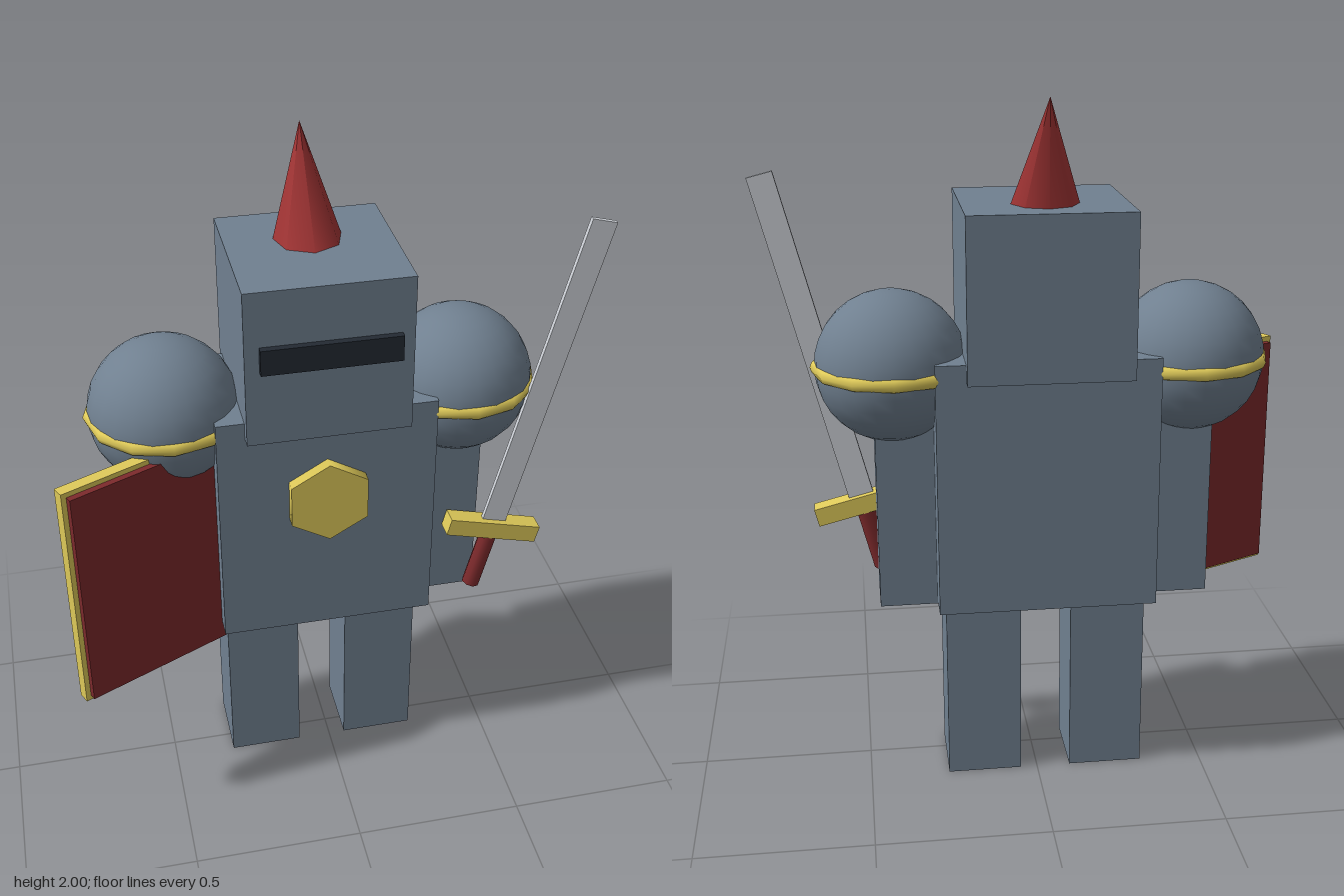
import * as THREE from 'three';

const mat = (color) => new THREE.MeshStandardMaterial({ color });
const steel = mat(0x708090);
const gold = mat(0xe0cb5a);
const red = mat(0x7d2a2c);
const plumeRed = mat(0xa03434);
const dark = mat(0x232a33);
const silver = mat(0xd0d4da);

const MID = -0.025; // x of the body's mirror plane

function add(parent, name, geometry, material, x = 0, y = 0, z = 0) {
  const mesh = new THREE.Mesh(geometry, material);
  mesh.name = name;
  mesh.position.set(x, y, z);
  parent.add(mesh);
  return mesh;
}

// Box given by its lower and upper corners
function block(parent, name, material, [x0, y0, z0], [x1, y1, z1]) {
  return add(parent, name, new THREE.BoxGeometry(x1 - x0, y1 - y0, z1 - z0), material,
    (x0 + x1) / 2, (y0 + y1) / 2, (z0 + z1) / 2);
}

function createBody(parent) {
  block(parent, 'torso', steel, [-0.335, 0.565, -0.235], [0.29, 1.3, 0.15]);
  const emblem = add(parent, 'chestEmblem', new THREE.CylinderGeometry(0.127, 0.127, 0.06, 6), gold, MID, 1.025, 0.155);
  emblem.rotation.x = Math.PI / 2;

  // Helmet with eye slit and backward-leaning plume
  block(parent, 'helmet', steel, [-0.255, 1.25, -0.272], [0.205, 1.71, 0.185]);
  block(parent, 'eyeSlit', dark, [-0.215, 1.475, 0.15], [0.17, 1.55, 0.205]);
  const plumeGeometry = new THREE.ConeGeometry(0.112, 0.36, 8);
  plumeGeometry.translate(0, -0.18, 0); // pivot at the tip
  const plume = add(parent, 'plume', plumeGeometry, plumeRed, MID, 2, -0.2);
  plume.rotation.x = -0.3;
}

// Leg, arm and shoulder guard of one side
function createLimbs(parent, side) {
  const prefix = side > 0 ? 'left' : 'right';
  add(parent, prefix + 'Leg', new THREE.BoxGeometry(0.218, 0.62, 0.217), steel,
    MID + side * 0.183, 0.31, -0.043);
  add(parent, prefix + 'Arm', new THREE.BoxGeometry(0.19, 0.7, 0.187), steel,
    MID + side * 0.385, 0.905, -0.042);

  const guard = new THREE.Group();
  guard.name = prefix + 'ShoulderGuard';
  guard.position.set(MID + side * 0.425, 1.255, -0.045);
  add(guard, 'dome', new THREE.SphereGeometry(0.215, 24, 16), steel);
  add(guard, 'trim', new THREE.TorusGeometry(0.205, 0.022, 8, 12), gold).rotation.x = Math.PI / 2;
  parent.add(guard);
}

// Shield, built outward from its outer edge
function createShield(parent) {
  const shield = new THREE.Group();
  shield.name = 'shield';
  shield.position.set(-0.769, 0.857, 0.251);
  shield.rotation.y = 0.437;
  add(shield, 'shieldRim', new THREE.BoxGeometry(0.6, 0.735, 0.035), gold, 0.3);
  add(shield, 'shieldPanel', new THREE.BoxGeometry(0.57, 0.705, 0.073), red, 0.3);
  parent.add(shield);
}

// Sword, with its origin at the centre of the crossguard
function createSword(parent) {
  const sword = new THREE.Group();
  sword.name = 'sword';
  sword.position.set(0.492, 0.793, 0.093);
  sword.rotation.z = -0.25;
  add(sword, 'blade', new THREE.BoxGeometry(0.074, 1.01, 0.015), silver, 0, 0.505);
  add(sword, 'crossguard', new THREE.BoxGeometry(0.288, 0.054, 0.056), gold);
  add(sword, 'grip', new THREE.CylinderGeometry(0.027, 0.027, 0.213, 8), red, 0, -0.1065);
  parent.add(sword);
}

export function createModel() {
  const model = new THREE.Group();
  model.name = 'knight';
  createBody(model);
  for (const side of [-1, 1]) createLimbs(model, side);
  createShield(model);
  createSword(model);
  return model;
}
